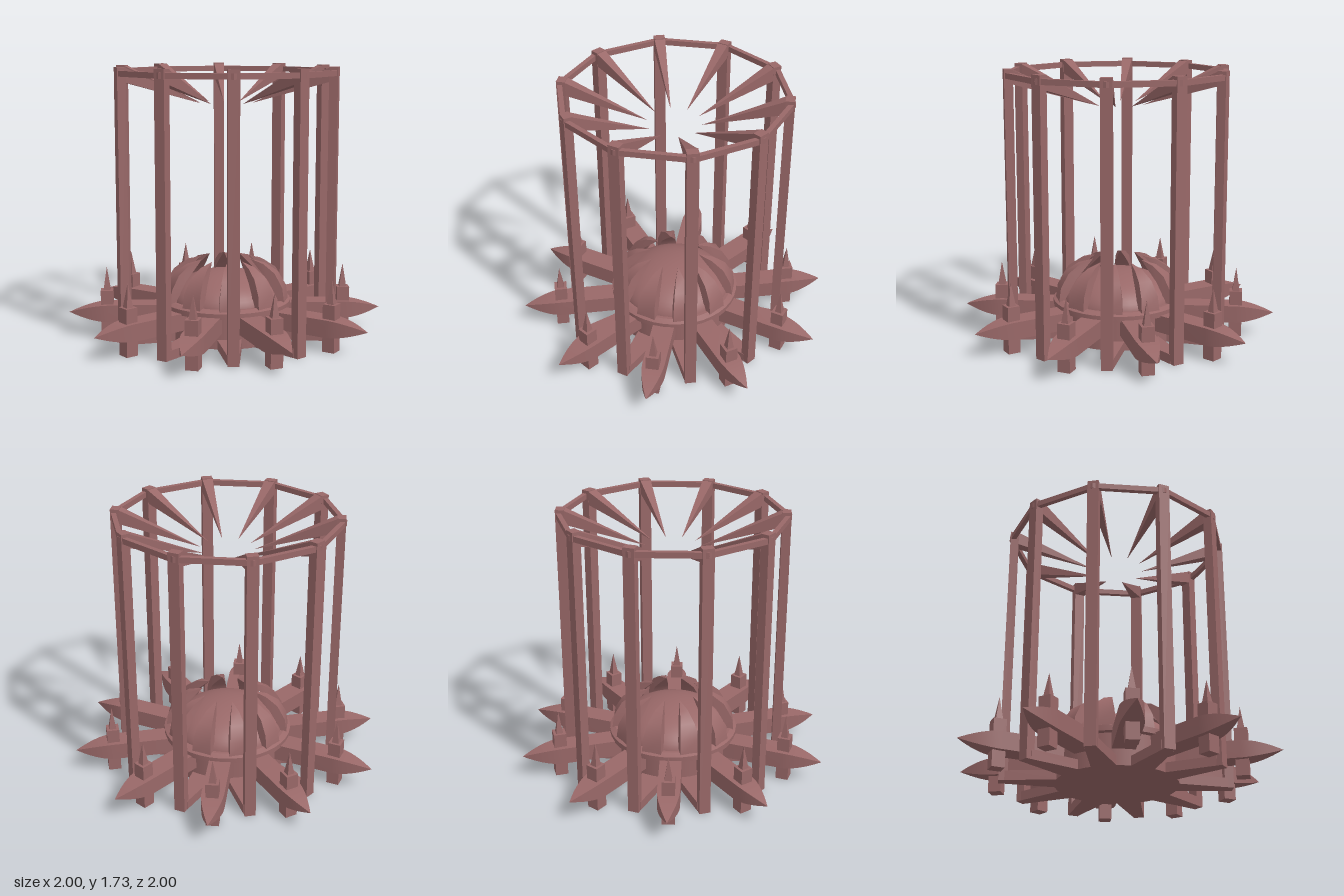
import * as THREE from 'three';
import { toCreasedNormals } from 'three/addons/utils/BufferGeometryUtils.js';

const material = new THREE.MeshStandardMaterial({ color: 0x996868 });
const COUNT = 10;
const STEP = (Math.PI * 2) / COUNT;
const PILLAR_START = Math.PI / 20;
const ARM_START = -Math.PI / 20;

function mesh(name, geometry, x = 0, y = 0, z = 0) {
  const m = new THREE.Mesh(geometry, material);
  m.name = name;
  m.position.set(x, y, z);
  return m;
}

// Four-sided loft along local x; each station is [r1, y1, r2, y2, halfWidth]
function blade(stations) {
  const pos = [], index = [];
  for (const [r1, y1, r2, y2, w] of stations) {
    pos.push(r1, y1, -w, r2, y2, -w, r2, y2, w, r1, y1, w);
  }
  const last = (stations.length - 1) * 4;
  for (let s = 0; s < last; s += 4) {
    for (let i = 0; i < 4; i++) {
      const j = (i + 1) % 4;
      index.push(s + i, s + j, s + 4 + j, s + i, s + 4 + j, s + 4 + i);
    }
  }
  index.push(0, 2, 1, 0, 3, 2, last, last + 1, last + 2, last, last + 2, last + 3);
  const g = new THREE.BufferGeometry();
  g.setAttribute('position', new THREE.Float32BufferAttribute(pos, 3));
  g.setIndex(index);
  return toCreasedNormals(g, 0.6);
}

// Repeats a set of parts around the vertical axis, local +x pointing outward
function radial(parent, name, start, makeParts) {
  for (let i = 0; i < COUNT; i++) {
    const g = new THREE.Group();
    g.name = name;
    g.rotation.y = -(start + i * STEP);
    g.add(...makeParts());
    parent.add(g);
  }
}

export function createModel() {
  const model = new THREE.Group();
  model.name = 'spikedCage';

  // Hub, rim and dome
  model.add(mesh('hub', new THREE.CylinderGeometry(0.38, 0.38, 0.21, 40), 0, 0.105, 0));
  const rimProfile = [[0.35, 0.2], [0.42, 0.2], [0.42, 0.235], [0.385, 0.25], [0.35, 0.25], [0.35, 0.2]]
    .map(([r, y]) => new THREE.Vector2(r, y));
  model.add(mesh('rim', toCreasedNormals(new THREE.LatheGeometry(rimProfile, 40), 0.4)));
  const domeGeo = new THREE.SphereGeometry(1, 40, 14, 0, Math.PI * 2, 0, Math.PI / 2);
  domeGeo.scale(0.37, 0.2, 0.37);
  model.add(mesh('dome', domeGeo, 0, 0.22, 0));

  // Pillars, each with a foot bar, a claw over the dome and an inward spike
  const pillarGeo = new THREE.BoxGeometry(0.055, 1.73, 0.07);
  const footGeo = blade([[0.3, 0, 0.3, 0.06, 0.085], [0.68, 0, 0.68, 0.06, 0.037]]);
  const spikeGeo = blade([[0.17, 1.5, 0.17, 1.5, 0.001], [0.67, 1.64, 0.67, 1.73, 0.035]]);
  const clawGeo = blade([
    [0.4, 0.24, 0.34, 0.24, 0.065],
    [0.387, 0.33, 0.33, 0.31, 0.06],
    [0.335, 0.42, 0.285, 0.38, 0.046],
    [0.255, 0.475, 0.225, 0.44, 0.026],
    [0.165, 0.5, 0.165, 0.499, 0.001],
  ]);
  // Straight bars joining the pillar tops
  const ringR = 0.705;
  const barGeo = new THREE.BoxGeometry(0.03, 0.035, 2 * ringR * Math.sin(STEP / 2) + 0.01);
  radial(model, 'pillarUnit', PILLAR_START, () => [
    mesh('pillar', pillarGeo, 0.688, 0.865, 0),
    mesh('footBar', footGeo),
    mesh('topSpike', spikeGeo),
    mesh('claw', clawGeo),
  ]);
  radial(model, 'ringUnit', ARM_START, () => [
    mesh('ringBar', barGeo, ringR * Math.cos(STEP / 2), 1.692, 0),
  ]);

  // Pointed arms, each carrying a post with a small spire
  const armStations = [[0.34, 0.1, 0.34, 0.21, 0.07]];
  for (let i = 0; i <= 8; i++) {
    const t = i / 8, k = Math.max(1 - Math.pow(t, 1.7), 0.005);
    const r = 0.76 + 0.25 * t;
    armStations.push([r, 0.155 - 0.055 * k, r, 0.155 + 0.055 * k, 0.07 * k]);
  }
  const armGeo = blade(armStations);
  const postGeo = new THREE.BoxGeometry(0.08, 0.3, 0.08);
  const spireGeo = new THREE.ConeGeometry(0.032, 0.15, 4).toNonIndexed();
  spireGeo.rotateY(Math.PI / 4);
  spireGeo.computeVertexNormals();
  radial(model, 'armUnit', ARM_START, () => [
    mesh('arm', armGeo),
    mesh('post', postGeo, 0.766, 0.15, 0),
    mesh('spire', spireGeo, 0.766, 0.375, 0),
  ]);

  return model;
}
